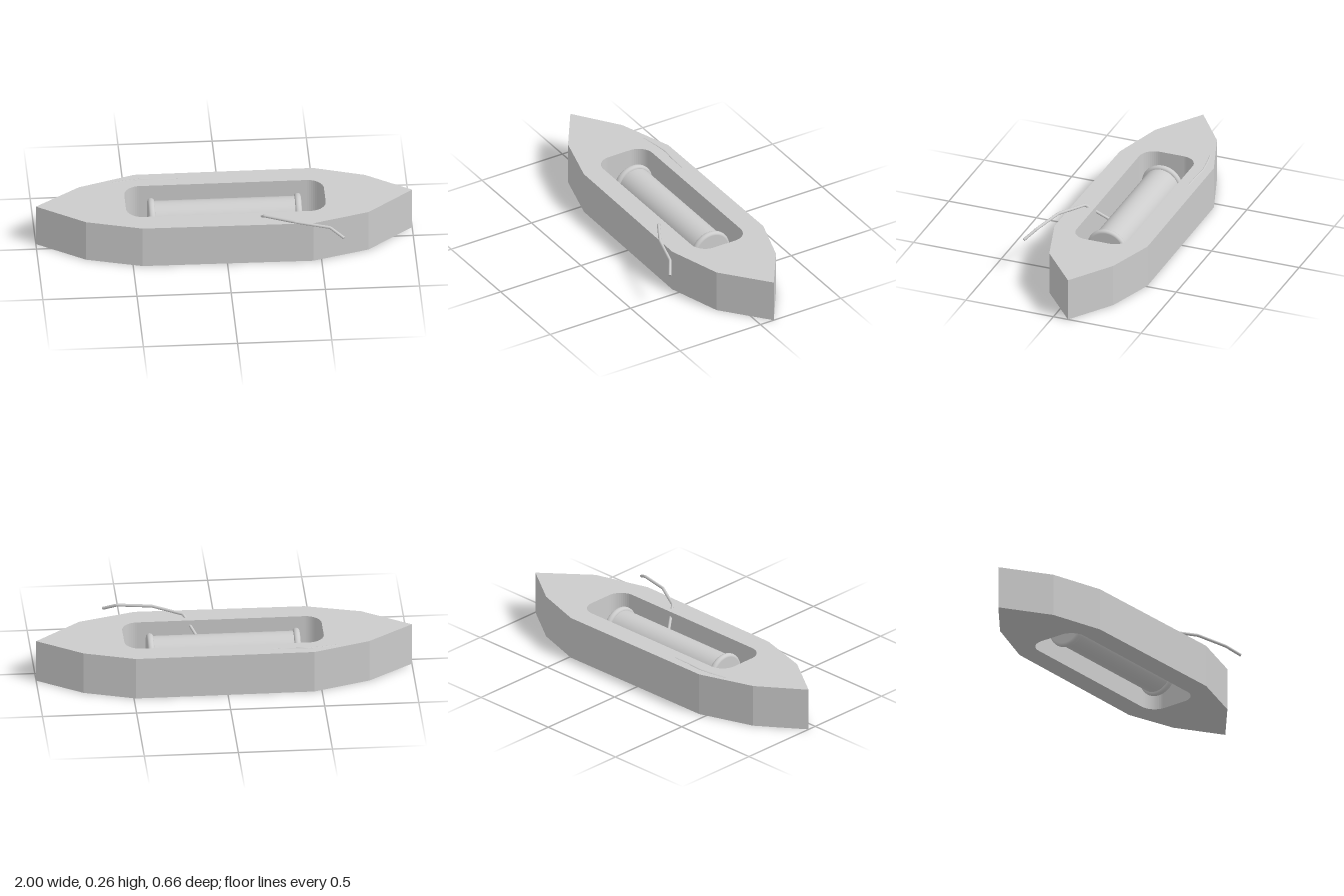
import * as THREE from 'three';

const grey = new THREE.MeshStandardMaterial({ color: 0xcccccc });
grey.name = 'light grey';

function add(group, name, geometry) {
  const mesh = new THREE.Mesh(geometry, grey);
  mesh.name = name;
  group.add(mesh);
  return mesh;
}

// Thin round strand along straight runs
function strand(points, radius) {
  const path = new THREE.CurvePath();
  const p = points.map((a) => new THREE.Vector3(...a));
  for (let i = 1; i < p.length; i++) path.add(new THREE.LineCurve3(p[i - 1], p[i]));
  return new THREE.TubeGeometry(path, 60, radius, 10);
}

// Flat disc closing the end of a strand, facing along its last run
function endCap(group, name, from, to, radius) {
  const a = new THREE.Vector3(...from), b = new THREE.Vector3(...to);
  const cap = add(group, name, new THREE.CircleGeometry(radius, 10));
  cap.position.copy(b);
  cap.lookAt(b.clone().multiplyScalar(2).sub(a));
}

export function createModel() {
  const group = new THREE.Group();
  const H = 0.235;

  // Shuttle body: pointed outline with a rounded slot; shape y is -z
  const outline = [
    [-1, -0.05], [-0.745, 0.122], [-0.45, 0.205], [0.455, 0.213], [0.755, 0.122],
    [1, -0.083], [0.76, -0.245], [0.49, -0.332], [-0.46, -0.328], [-0.76, -0.225],
  ];
  const shape = new THREE.Shape(outline.map(([x, z]) => new THREE.Vector2(x, -z)));
  const [x0, x1, y0, y1, r] = [-0.525, 0.535, -0.09, 0.215, 0.085];
  const slot = new THREE.Path();
  slot.moveTo(x0 + r, y0);
  slot.lineTo(x1 - r, y0);
  slot.absarc(x1 - r, y0 + r, r, -Math.PI / 2, 0);
  slot.lineTo(x1, y1 - r);
  slot.absarc(x1 - r, y1 - r, r, 0, Math.PI / 2);
  slot.lineTo(x0 + r, y1);
  slot.absarc(x0 + r, y1 - r, r, Math.PI / 2, Math.PI);
  slot.lineTo(x0, y0 + r);
  slot.absarc(x0 + r, y0 + r, r, Math.PI, Math.PI * 1.5);
  shape.holes.push(slot);
  const body = new THREE.ExtrudeGeometry(shape, { depth: H, bevelEnabled: false, curveSegments: 6 });
  body.rotateX(-Math.PI / 2);
  add(group, 'shuttleBody', body);

  // Bobbin lying along x inside the slot
  const bobbin = new THREE.Group();
  bobbin.name = 'bobbin';
  bobbin.position.set(0.003, 0.118, -0.063);
  group.add(bobbin);
  add(bobbin, 'bobbinCore', new THREE.CylinderGeometry(0.1, 0.1, 0.78, 48).rotateZ(Math.PI / 2));
  for (const side of [-1, 1]) {
    // Flange with softly rounded rim
    const profile = [[0, -0.017], [0.1, -0.017]];
    for (let i = 0; i <= 8; i++) {
      const t = -Math.PI / 2 + (i * Math.PI) / 8;
      profile.push([0.102 + 0.013 * Math.cos(t), 0.017 * Math.sin(t)]);
    }
    profile.push([0.1, 0.017], [0, 0.017]);
    const flange = new THREE.LatheGeometry(profile.map(([a, b]) => new THREE.Vector2(a, b)), 48);
    flange.rotateZ(Math.PI / 2);
    add(bobbin, side < 0 ? 'rightFlange' : 'leftFlange', flange).position.x = side * 0.389;
  }

  // Loose thread from the bobbin over the front edge
  const thread = [
    [0.12, 0.14, 0.025], [0.2, 0.247, 0.142], [0.36, 0.257, 0.23],
    [0.54, 0.246, 0.278], [0.612, 0.206, 0.324],
  ];
  add(group, 'thread', strand(thread, 0.008));
  endCap(group, 'threadEnd', thread[3], thread[4], 0.008);

  // Thread end lying almost sunk into the back of the top face
  const sunk = [
    [-0.59, 0.231, -0.256], [-0.5, 0.232, -0.273], [-0.42, 0.233, -0.283],
    [-0.33, 0.232, -0.276], [-0.23, 0.231, -0.274],
  ];
  add(group, 'sunkenThread', strand(sunk, 0.006));

  return group;
}
